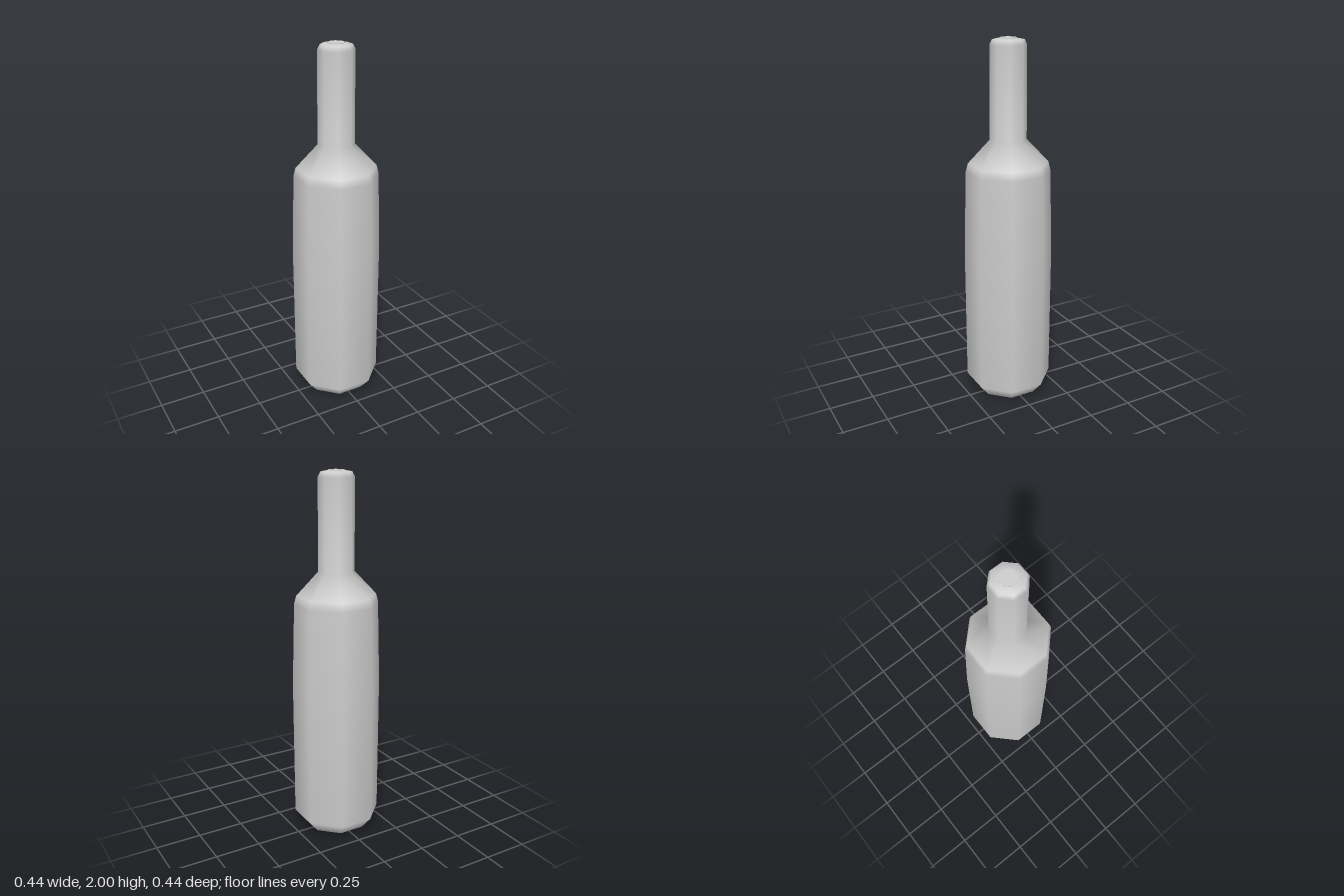
import * as THREE from 'three';

const SIDES = 8;
const TURN = Math.PI / SIDES; // flats face the axes
const FLAT = Math.cos(TURN); // flat distance -> corner radius

// [distance to flat, height], from base to mouth
const PROFILE = [
  [0.042, 0.005], [0.168, 0.02], [0.221, 0.09], [0.222, 0.86],
  [0.209, 1.31], [0.198, 1.355], [0.09, 1.48], [0.088, 1.965],
  [0.076, 1.99], [0.041, 1.997],
];

export function createModel() {
  const group = new THREE.Group();
  const glass = new THREE.MeshStandardMaterial({ color: 0xcccccc });
  glass.name = 'pale grey glass';

  function add(name, geometry) {
    const mesh = new THREE.Mesh(geometry, glass);
    mesh.name = name;
    group.add(mesh);
    return mesh;
  }

  // Smooth-shaded eight-sided bottle
  const points = PROFILE.map(([r, y]) => new THREE.Vector2(r / FLAT, y));
  add('bottleBody', new THREE.LatheGeometry(points, SIDES, TURN));

  // Small flat plugs closing the mouth and the base
  function plug(name, radius, bottom, top) {
    const h = top - bottom;
    const geometry = new THREE.CylinderGeometry(radius / FLAT, radius / FLAT, h, SIDES, 1, false, TURN);
    add(name, geometry).position.y = bottom + h / 2;
  }
  plug('mouthCap', 0.041, 1.99, 2);
  plug('baseCap', 0.042, 0, 0.01);

  return group;
}
